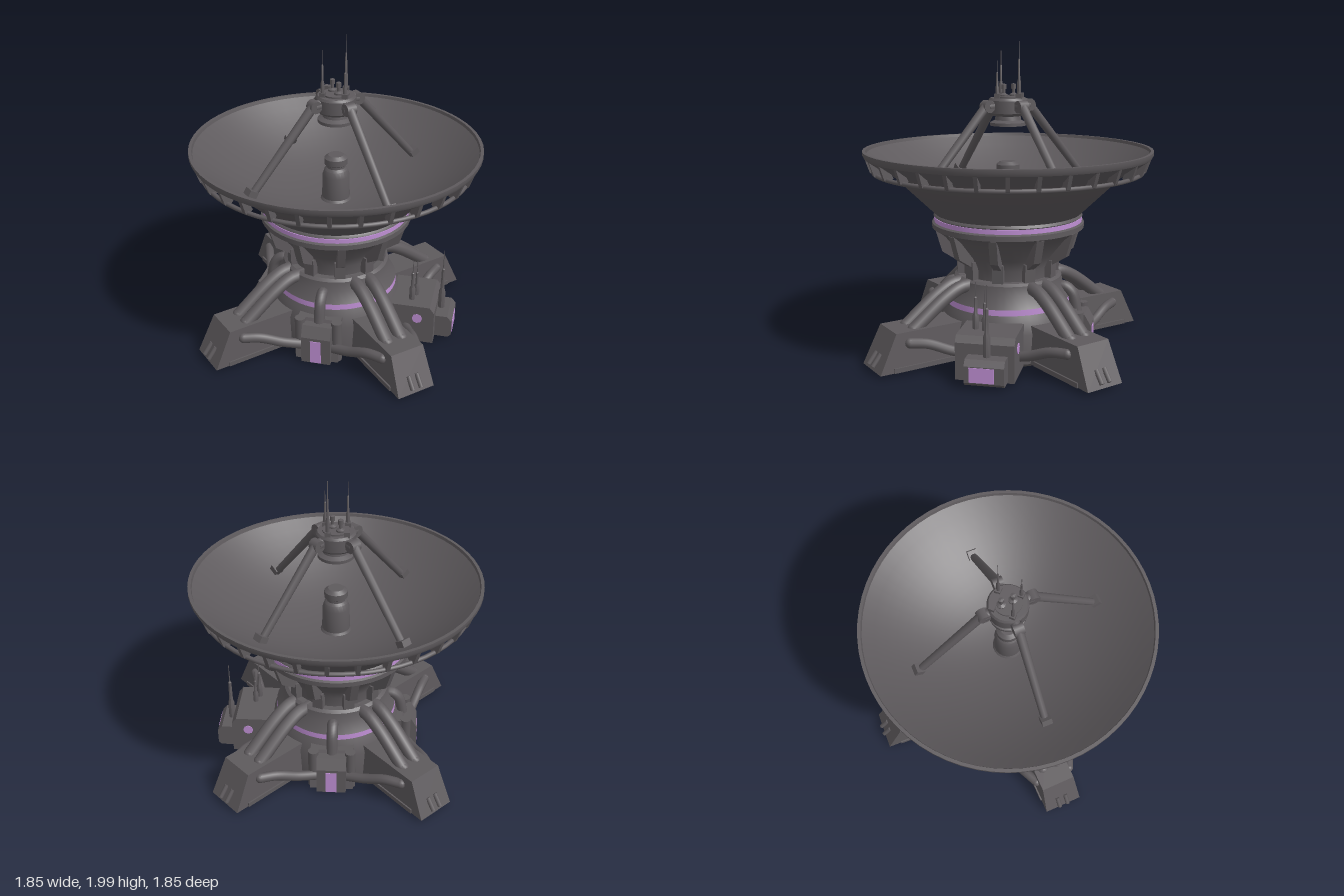
import * as THREE from 'three';
import { toCreasedNormals } from 'three/addons/utils/BufferGeometryUtils.js';

const grey = new THREE.MeshStandardMaterial({ color: 0x5e5a5d, side: THREE.DoubleSide });
grey.name = 'dark grey metal';
const violet = new THREE.MeshStandardMaterial({ color: 0xbf8fd4, side: THREE.DoubleSide });
violet.name = 'violet light';

const V = (x, y, z) => new THREE.Vector3(x, y, z);

function add(parent, name, geometry, material = grey) {
  const mesh = new THREE.Mesh(geometry, material);
  mesh.name = name;
  parent.add(mesh);
  return mesh;
}

function group(parent, name, angle = 0) {
  const g = new THREE.Group();
  g.name = name;
  g.rotation.y = angle; // local +z points outward
  parent.add(g);
  return g;
}

// Turned part from [radius, height] pairs, going up the outside
function lathe(points, sides = 48) {
  const g = new THREE.LatheGeometry(points.map(p => new THREE.Vector2(...p)), sides);
  return toCreasedNormals(g, 0.5);
}

// Side profile of [outward, height] pairs, given a width across
function slab(points, width) {
  const shape = new THREE.Shape(points.map(p => new THREE.Vector2(...p)));
  const g = new THREE.ExtrudeGeometry(shape, { depth: width, bevelEnabled: false });
  return g.rotateY(-Math.PI / 2).translate(width / 2, 0, 0);
}

function box(w, h, d, x, y, z) {
  return new THREE.BoxGeometry(w, h, d).translate(x, y, z);
}

function pipe(parent, name, points, radius) {
  const curve = new THREE.CatmullRomCurve3(points, false, 'centripetal');
  add(parent, name, new THREE.TubeGeometry(curve, 18, radius, 10));
  for (const p of [points[0], points[points.length - 1]])
    add(parent, name + 'End', new THREE.SphereGeometry(radius, 10, 8).translate(p.x, p.y, p.z));
}

// Straight round bar between two points
function rod(parent, name, a, b, r0, r1 = r0) {
  const dir = b.clone().sub(a);
  const m = add(parent, name, new THREE.CylinderGeometry(r1, r0, dir.length(), 10));
  m.position.copy(a).addScaledVector(dir, 0.5);
  m.quaternion.setFromUnitVectors(V(0, 1, 0), dir.normalize());
}

// Stepped aerial ending in a needle
function aerial(parent, x, z, y0, y1, r) {
  const h = y1 - y0;
  const g = lathe([[0, y0], [r, y0], [r, y0 + h * 0.3], [r * 0.6, y0 + h * 0.36], [r * 0.5, y0 + h * 0.68],
    [r * 0.2, y0 + h * 0.7], [0.002, y1], [0, y1]], 8);
  add(parent, 'aerial', g.translate(x, 0, z));
}

function addTower(model) {
  // Base is a hollow shell, open underneath, with the light band as part of its wall
  add(model, 'baseSkirt', lathe([[0.43, 0.01], [0.45, 0.03], [0.45, 0.22], [0.42, 0.3], [0.406, 0.33]]));
  add(model, 'baseBand', lathe([[0.406, 0.33], [0.404, 0.367]]), violet);
  add(model, 'baseTop', lathe([[0.404, 0.367], [0.36, 0.44], [0.35, 0.5], [0.33, 0.515], [0, 0.515]]));
  add(model, 'column', lathe([[0.29, 0.5], [0.29, 0.58], [0.32, 0.65], [0.42, 0.77], [0.47, 0.81], [0.492, 0.82],
    [0.492, 0.852], [0.472, 0.862], [0.472, 0.89], [0.483, 0.896], [0.475, 0.912], [0.45, 0.93], [0, 0.93]]));
  add(model, 'collarBand', lathe([[0.473, 0.861], [0.479, 0.861], [0.479, 0.889], [0.473, 0.889]]), violet);
  // Fins bracing the column under the collar
  for (let i = 0; i < 10; i++) {
    const g = group(model, 'columnFin', (i + 0.5) * Math.PI / 5);
    add(g, 'finFoot', slab([[0.25, 0.5], [0.33, 0.5], [0.335, 0.63], [0.25, 0.63]], 0.07));
    add(g, 'finBlade', slab([[0.26, 0.6], [0.335, 0.6], [0.43, 0.66], [0.475, 0.81], [0.42, 0.81]], 0.05));
  }
}

function addDish(model) {
  const dish = group(model, 'dish');
  const profile = [[0.44, 0.9], [0.47, 0.91], [0.74, 1.17], [0.85, 1.235], [0.915, 1.28], [0.925, 1.3], [0.925, 1.322], [0.905, 1.322]];
  for (let i = 14; i >= 0; i--) {
    const r = i * 0.9 / 14;
    profile.push([r, 0.93 + 0.46 * r * r]);
  }
  add(dish, 'bowl', lathe(profile, 64));
  // Outer hoop carried on short ribs
  add(dish, 'hoop', new THREE.TorusGeometry(0.86, 0.014, 8, 64).rotateX(Math.PI / 2).translate(0, 1.19, 0));
  for (let i = 0; i < 32; i++) {
    const g = group(dish, 'rimRib', i * Math.PI / 16);
    add(g, 'rib', slab([[0.82, 1.2], [0.85, 1.175], [0.88, 1.19], [0.912, 1.28], [0.84, 1.235]], 0.024));
  }
  // Receiver in the middle of the bowl
  add(dish, 'receiver', lathe([[0.11, 0.92], [0.09, 0.95], [0.088, 1.1], [0.075, 1.14], [0.06, 1.155], [0.06, 1.17],
    [0.075, 1.18], [0.075, 1.22], [0.05, 1.24], [0, 1.24]], 20));
}

function addFeed(model) {
  const feed = group(model, 'feed');
  add(feed, 'hub', lathe([[0, 1.47], [0.115, 1.47], [0.115, 1.49], [0.085, 1.505], [0.08, 1.53], [0.11, 1.535],
    [0.125, 1.55], [0.125, 1.63], [0.115, 1.645], [0.085, 1.645], [0.085, 1.655], [0, 1.655]], 24));
  for (let i = 0; i < 4; i++) {
    const g = group(feed, 'feedStrut', Math.PI / 4 + i * Math.PI / 2);
    rod(g, 'strut', V(0, 1.6, 0.16), V(0, 1.09, 0.615), 0.03, 0.024);
    rod(g, 'strutJoint', V(-0.032, 1.595, 0.155), V(0.032, 1.595, 0.155), 0.04);
    rod(g, 'strutArm', V(0, 1.6, 0.09), V(0, 1.595, 0.155), 0.035);
    const foot = add(g, 'strutFoot', box(0.066, 0.06, 0.06, 0, 0, 0));
    foot.position.set(0, 1.115, 0.61);
    foot.rotation.x = -0.55;
  }
  for (const [x, z, top] of [[-0.07, 0.06, 1.94], [0.045, -0.08, 2], [0.07, 0.055, 1.88], [-0.07, -0.07, 0]]) {
    add(feed, 'aerialSocket', box(0.036, 0.035, 0.036, x, 1.655, z));
    if (top) aerial(feed, x, z, 1.64, top, 0.012);
  }
  for (const [x, z] of [[-0.03, -0.03], [0.022, 0.022]]) {
    add(feed, 'sensor', lathe([[0.028, 1.64], [0.028, 1.665], [0.01, 1.675], [0.01, 1.7], [0.016, 1.7],
      [0.016, 1.73], [0, 1.735]], 10).translate(x, 0, z));
  }
}

function addLegs(model) {
  const a = Math.PI / 4 - 0.024;
  for (const angle of [a, -a, Math.PI - a, Math.PI + a]) {
    const g = group(model, 'leg', angle);
    // Hollow foot: a box without its floor, narrowed and sloped at the top
    const foot = new THREE.BoxGeometry(0.26, 0.24, 0.57).translate(0, 0.15, 0.695);
    const p = foot.attributes.position;
    for (let k = 0; k < p.count; k++) {
      if (p.getY(k) < 0.2) continue;
      p.setX(k, p.getX(k) * 0.9);
      if (p.getZ(k) > 0.8) p.setZ(k, 0.865);
    }
    const index = [...foot.index.array];
    index.splice(18, 6);
    foot.setIndex(index);
    foot.clearGroups();
    foot.computeVertexNormals();
    add(g, 'foot', foot);
    for (const s of [-1, 1]) {
      pipe(g, 'legPipe', [V(s * 0.052, 0.475, 0.29), V(s * 0.052, 0.472, 0.38), V(s * 0.052, 0.42, 0.49), V(s * 0.052, 0.25, 0.72)], 0.043);
      rod(g, 'footClaw', V(s * 0.03, 0.13, 0.93), V(s * 0.03, 0.06, 0.985), 0.015);
      add(g, 'sidePad', box(0.02, 0.03, 0.42, s * 0.128, 0.045, 0.68));
      pipe(g, 'sideHose', [V(s * 0.27, 0.11, 0.44), V(s * 0.225, 0.14, 0.55), V(s * 0.17, 0.19, 0.68), V(s * 0.125, 0.2, 0.78)], 0.032);
    }
  }
}

function addPods(model) {
  // Three equal pods with a light strip and a hose
  for (const a of [0, Math.PI, -Math.PI / 2]) {
    const g = group(model, 'pod', a);
    add(g, 'podBody', slab([[0.4, 0.02], [0.53, 0.02], [0.5, 0.2], [0.46, 0.29], [0.4, 0.29]], 0.28));
    add(g, 'podFace', slab([[0.42, 0.015], [0.56, 0.015], [0.56, 0.2], [0.52, 0.27], [0.42, 0.27]], 0.19));
    add(g, 'podLight', box(0.07, 0.16, 0.006, 0, 0.1, 0.562), violet);
    for (const s of [-1, 1]) add(g, 'podPost', new THREE.CylinderGeometry(0.035, 0.035, 0.28, 10).translate(s * 0.12, 0.155, 0.48));
    pipe(g, 'podHose', [V(0, 0.42, 0.33), V(0, 0.43, 0.375), V(0, 0.39, 0.425), V(0, 0.25, 0.46)], 0.036);
  }
  // Larger equipment house on the left side
  const h = group(model, 'equipmentHouse', Math.PI / 2);
  add(h, 'house', slab([[0.4, 0.02], [0.7, 0.02], [0.7, 0.25], [0.67, 0.29], [0.4, 0.29]], 0.36));
  add(h, 'outerPod', slab([[0.65, 0.03], [0.79, 0.03], [0.81, 0.05], [0.81, 0.15], [0.78, 0.185], [0.65, 0.185]], 0.24).translate(0.02, 0, 0));
  add(h, 'outerLight', box(0.15, 0.09, 0.006, 0.005, 0.1, 0.811), violet);
  for (const s of [-1, 1]) {
    const spot = new THREE.CylinderGeometry(0.034, 0.034, 0.006, 8).rotateZ(Math.PI / 2);
    add(h, 'sideLight', spot.translate(s * 0.181, 0.2, 0.59), violet);
  }
  aerial(h, -0.09, 0.54, 0.28, 0.58, 0.02);
  aerial(h, -0.03, 0.56, 0.28, 0.54, 0.018);
  aerial(h, 0.02, 0.725, 0.17, 0.62, 0.022);
}

export function createModel() {
  const model = new THREE.Group();
  model.name = 'satelliteDishStation';
  addTower(model);
  addDish(model);
  addFeed(model);
  addLegs(model);
  addPods(model);
  return model;
}
